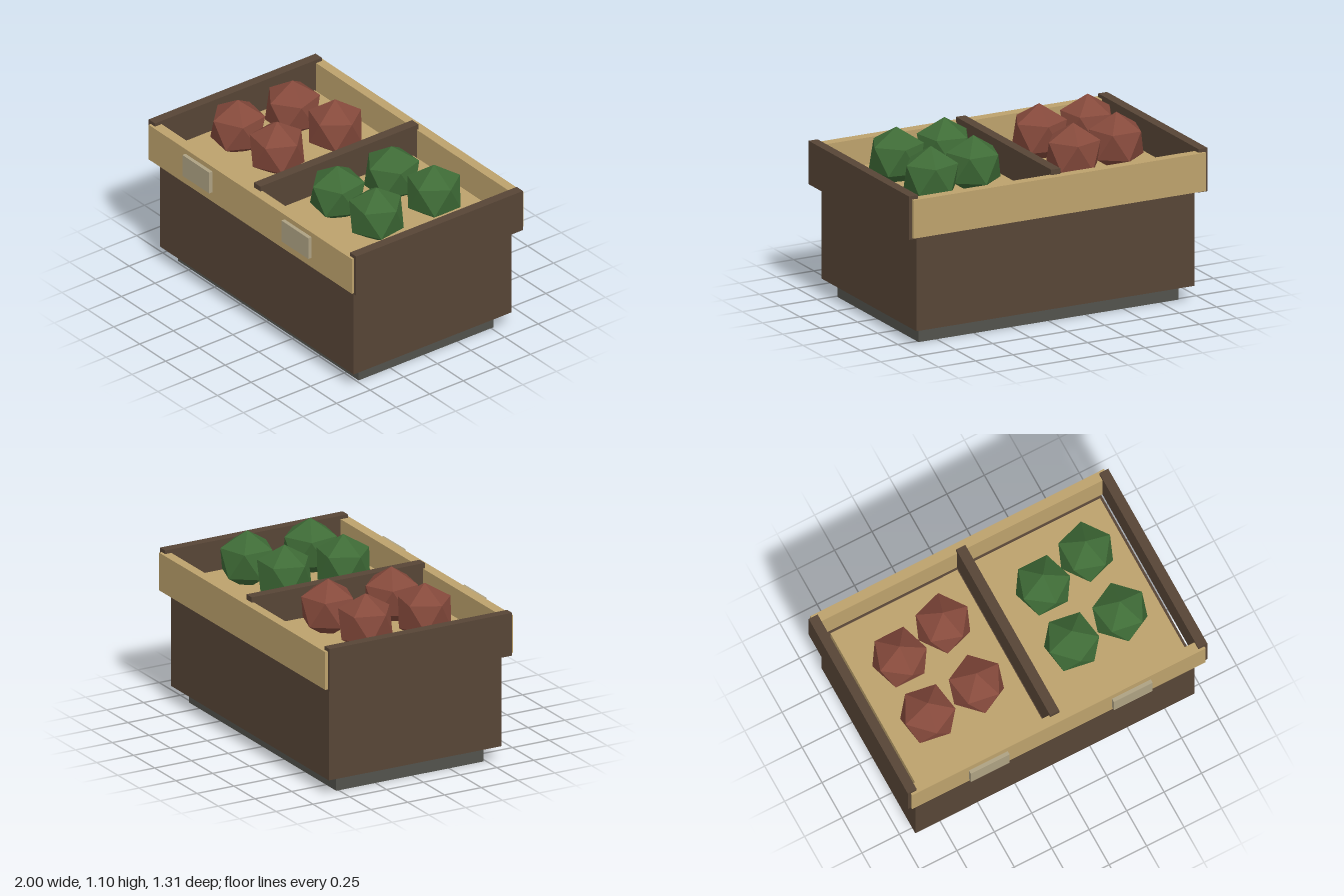
import * as THREE from 'three';

const mat = (color, flat = false) => {
  const m = new THREE.MeshStandardMaterial({ flatShading: flat });
  m.color.set(color);
  return m;
};

export function createModel() {
  const group = new THREE.Group();
  const brown = mat(0x574536), tan = mat(0xbda26c), grey = mat(0x52524c), card = mat(0xaea283);
  const red = mat(0x864a3c, true), green = mat(0x3f6c37, true);

  // Box given by its extents along each axis
  const box = (name, material, [x0, x1], [y0, y1], [z0, z1]) => {
    const mesh = new THREE.Mesh(new THREE.BoxGeometry(x1 - x0, y1 - y0, z1 - z0), material);
    mesh.position.set((x0 + x1) / 2, (y0 + y1) / 2, (z0 + z1) / 2);
    mesh.name = name;
    group.add(mesh);
  };

  // Plinth and cabinet
  box('plinth', grey, [-0.87, 0.87], [0, 0.1], [-0.517, 0.485]);
  box('cabinet', brown, [-0.932, 0.932], [0.1, 0.682], [-0.603, 0.571]);

  // Rim boards and divider
  box('frontBoard', tan, [-0.98, 0.98], [0.693, 0.93], [0.555, 0.62]);
  box('backBoard', tan, [-0.98, 0.98], [0.693, 0.93], [-0.655, -0.595]);
  box('divider', brown, [-0.031, 0.031], [0.682, 0.963], [-0.608, 0.569]);

  // Side boards, trays and price cards, one per side
  for (const s of [-1, 1]) {
    const span = (a, b) => (s > 0 ? [a, b] : [-b, -a]);
    box('sideBoard', brown, span(0.94, 1), [0.684, 0.952], [-0.637, 0.604]);
    box('tray', tan, span(0.053, 0.9), [0.688, 0.78], [-0.552, 0.511]);
    box('priceCard', card, span(0.348, 0.607), [0.77, 0.912], [0.633, 0.657]);
  }

  // Produce: icosahedra turned so that one corner points up
  const fruit = new THREE.IcosahedronGeometry(0.182, 0);
  fruit.rotateZ(Math.atan(2 / (1 + Math.sqrt(5))));
  const heap = (name, material, spots) => {
    for (const [x, z, turn] of spots) {
      const mesh = new THREE.Mesh(fruit, material);
      mesh.position.set(x, 0.922, z);
      mesh.rotation.y = THREE.MathUtils.degToRad(turn);
      mesh.name = name;
      group.add(mesh);
    }
  };
  heap('redProduce', red, [[-0.635, -0.183, 18], [-0.31, -0.25, 180], [-0.655, 0.208, 9], [-0.315, 0.178, 189]]);
  heap('greenProduce', green, [[0.322, -0.183, 18], [0.643, -0.25, 180], [0.305, 0.208, 9], [0.643, 0.178, 189]]);

  return group;
}
